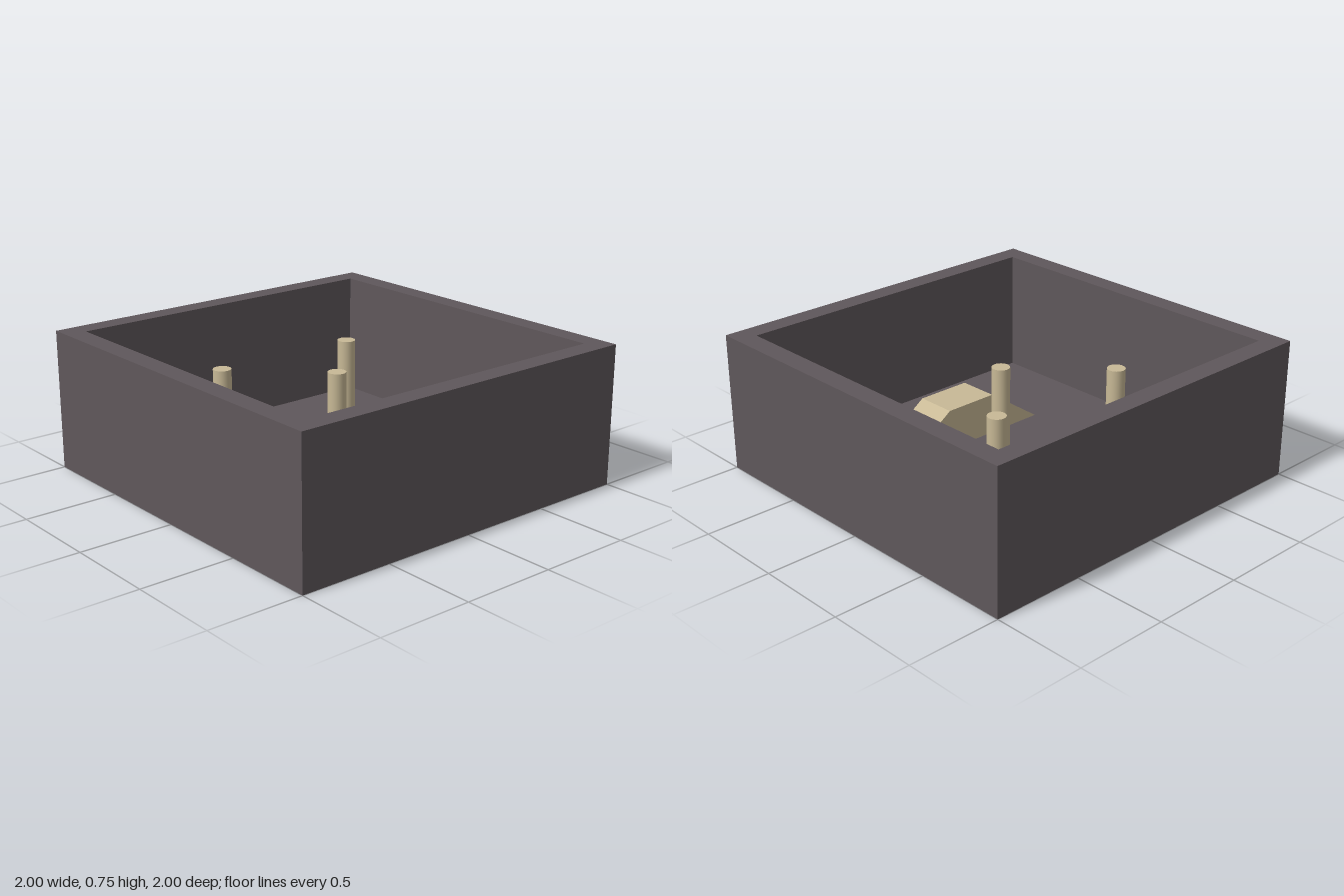
import * as THREE from 'three';

const stone = new THREE.MeshStandardMaterial({ color: 0x5f575b });
const wood = new THREE.MeshStandardMaterial({ color: 0xc8b996 });

const HEIGHT = 0.745, FLOOR = 0.08, INNER = 0.89;

function square(path, h) {
  path.moveTo(-h, -h);
  path.lineTo(h, -h);
  path.lineTo(h, h);
  path.lineTo(-h, h);
  path.closePath();
  return path;
}

function add(group, name, geometry, material, x = 0, y = 0, z = 0) {
  const mesh = new THREE.Mesh(geometry, material);
  mesh.name = name;
  mesh.position.set(x, y, z);
  group.add(mesh);
  return mesh;
}

export function createModel() {
  const model = new THREE.Group();
  model.name = 'openBox';

  // Four walls as one square ring
  const ring = square(new THREE.Shape(), 1);
  ring.holes.push(square(new THREE.Path(), INNER));
  const walls = new THREE.ExtrudeGeometry(ring, { depth: HEIGHT, bevelEnabled: false });
  walls.rotateX(-Math.PI / 2);
  add(model, 'walls', walls, stone);

  // Floor inside the ring
  add(model, 'floor', new THREE.BoxGeometry(2 * INNER, FLOOR, 2 * INNER), stone, 0, FLOOR / 2, 0);

  // Three round posts
  const postHeight = 0.495;
  const post = new THREE.CylinderGeometry(0.048, 0.048, postHeight, 24);
  for (const [x, z] of [[-0.37, -0.415], [-0.37, 0.415], [0.043, 0]]) {
    add(model, 'post', post, wood, x, FLOOR + postHeight / 2, z);
  }

  // Flat-topped block with a ramp at each end
  const profile = new THREE.Shape([
    new THREE.Vector2(-0.47, FLOOR),
    new THREE.Vector2(0.47, FLOOR),
    new THREE.Vector2(0.15, 0.3),
    new THREE.Vector2(-0.15, 0.3),
  ]);
  const ramp = new THREE.ExtrudeGeometry(profile, { depth: 0.22, bevelEnabled: false });
  ramp.rotateY(Math.PI / 2);
  add(model, 'doubleRamp', ramp, wood, 0.27, 0, 0);

  return model;
}
